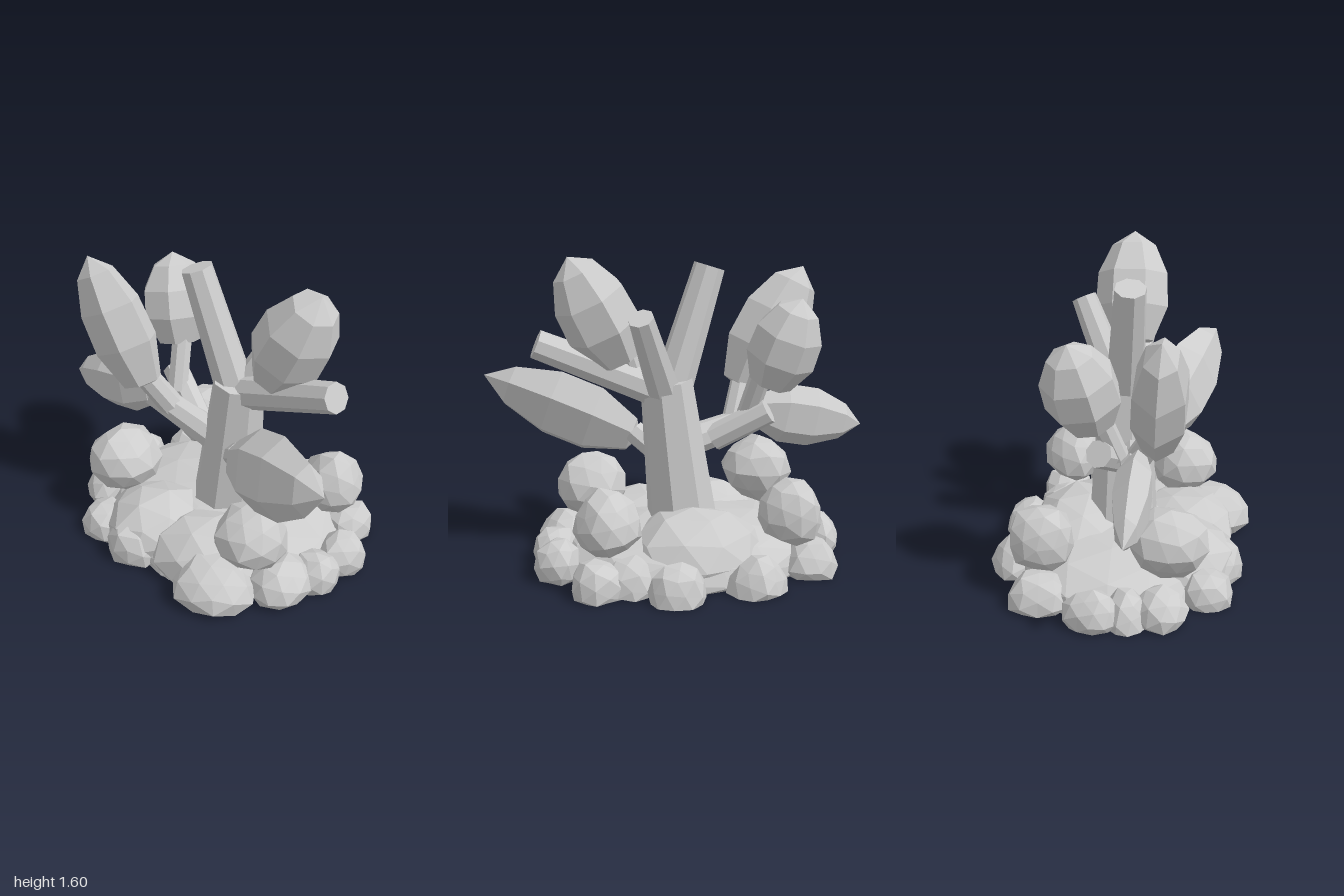
import * as THREE from 'three';

const V = (a) => new THREE.Vector3(...a);

export function createModel() {
  const root = new THREE.Group();
  const grey = new THREE.MeshStandardMaterial({ color: 0xcccccc });
  grey.name = 'light grey';

  // adds a faceted mesh (split vertices give flat normals)
  function add(name, geo) {
    const g = geo.index ? geo.toNonIndexed() : geo;
    g.computeVertexNormals();
    const mesh = new THREE.Mesh(g, grey);
    mesh.name = name;
    root.add(mesh);
    return mesh;
  }

  // irregular boulder, cut flat at the ground
  function blob(name, [x, y, z], [rx, ry, rz], seed, detail, rough) {
    const geo = new THREE.IcosahedronGeometry(1, detail);
    geo.rotateY(seed * 1.7).rotateX(seed * 0.6);
    const p = geo.attributes.position;
    const v = new THREE.Vector3();
    for (let i = 0; i < p.count; i++) {
      v.fromBufferAttribute(p, i);
      const n = Math.sin(v.x * 5.1 + seed * 2.3) + Math.sin(v.y * 4.3 + seed) + Math.sin(v.z * 4.7 - seed * 1.9);
      v.multiplyScalar(1 + rough * n / 2);
      p.setXYZ(i, x + v.x * rx, Math.max(0, y + v.y * ry), z + v.z * rz);
    }
    add(name, geo);
  }

  // tapered eight-sided limb between two points
  function limb(name, from, to, r0, r1) {
    const a = V(from), b = V(to), dir = b.clone().sub(a);
    const geo = new THREE.CylinderGeometry(r1, r0, dir.length(), 8);
    geo.rotateY(Math.PI / 8);
    const mesh = add(name, geo);
    mesh.position.copy(a).add(b).multiplyScalar(0.5);
    mesh.quaternion.setFromUnitVectors(new THREE.Vector3(0, 1, 0), dir.normalize());
  }

  // pointed faceted leaf from base to tip, w = half width, d = half thickness
  const slim = [[0, 0], [0.5, 0.05], [0.95, 0.3], [0.95, 0.56], [0.58, 0.83], [0, 1]];
  const plump = [[0, 0], [0.62, 0.04], [1, 0.33], [0.96, 0.62], [0.6, 0.87], [0, 1]];
  function leaf(name, base, tip, w, d, profile, sides, roll = 0) {
    const a = V(base), y = V(tip).sub(a), len = y.length();
    y.normalize();
    const x = new THREE.Vector3().crossVectors(y, new THREE.Vector3(0, 0, 1)).normalize();
    const z = new THREE.Vector3().crossVectors(x, y);
    const geo = new THREE.LatheGeometry(profile.map(([r, t]) => new THREE.Vector2(r, t)), sides, Math.PI / 2);
    geo.scale(w, len, d).rotateY(roll);
    geo.applyMatrix4(new THREE.Matrix4().makeBasis(x, y, z).setPosition(a));
    add(name, geo);
  }

  // trunk and main branches
  limb('trunk', [0.01, 0.1, 0.005], [0.105, 0.96, 0.0], 0.19, 0.135);
  limb('upperLeftBranch', [0.09, 0.86, 0.0], [-0.13, 1.52, 0.06], 0.105, 0.08);
  limb('upperRightBranch', [0.13, 0.9, 0.0], [0.75, 1.165, 0.04], 0.09, 0.075);
  limb('rearBranch', [0.11, 0.87, -0.02], [0.27, 1.33, -0.24], 0.09, 0.065);
  limb('lowerLeftBranch', [0.03, 0.59, 0.06], [-0.43, 0.705, 0.12], 0.085, 0.068);

  // twigs carrying the leaves
  limb('tallLeafTwig', [-0.27, 0.66, 0.1], [-0.35, 0.88, 0.22], 0.066, 0.062);
  limb('rearLeafTwig', [-0.15, 0.62, 0.04], [-0.42, 0.78, -0.05], 0.07, 0.07);
  limb('rearLeafStem', [-0.32, 0.72, 0.03], [-0.38, 1.0, -0.07], 0.055, 0.055);
  limb('longLeafTwig', [0.11, 0.53, 0.06], [0.25, 0.65, 0.15], 0.062, 0.062);
  limb('topLeafTwig', [0.25, 0.96, 0.02], [0.3, 1.12, 0.0], 0.045, 0.04);

  // leaves
  leaf('sideLeaf', [-0.37, 0.74, 0.14], [-1, 0.61, 0.155], 0.17, 0.1, slim, 6);
  leaf('longLeaf', [0.22, 0.61, 0.16], [1, 0.93, 0.4], 0.215, 0.14, slim, 6, -0.4);
  leaf('tallLeaf', [-0.35, 0.82, 0.23], [-0.69, 1.465, 0.28], 0.205, 0.145, plump, 6);
  leaf('topLeaf', [0.32, 1.06, 0], [0.59, 1.6, -0.02], 0.195, 0.195, plump, 7);
  leaf('rearLeaf', [-0.41, 0.92, -0.08], [-0.55, 1.38, -0.17], 0.18, 0.19, plump, 7);

  // angular bushes at the four corners of the mound
  for (const [x, y, z, r, seed] of [
    [-0.46, 0.35, 0.3, 0.19, 1], [0.46, 0.33, 0.28, 0.182, 2],
    [0.465, 0.335, -0.34, 0.168, 3], [-0.47, 0.325, -0.33, 0.165, 4],
  ]) blob('bush', [x, y, z], [r, r, r], seed, 1, 0.09);

  // mound
  blob('mound', [0, 0.01, 0], [0.7, 0.24, 0.56], 5, 2, 0.05);
  blob('mound', [-0.17, 0.06, 0.33], [0.29, 0.23, 0.3], 6, 1, 0.08);
  blob('mound', [0.2, 0.06, 0.3], [0.32, 0.22, 0.29], 7, 1, 0.08);
  blob('mound', [0, 0.08, -0.2], [0.37, 0.26, 0.31], 8, 1, 0.06);

  // ring of rocks: x, z, half width, half depth, top height
  const rocks = [
    [-0.25, -0.52, 0.15, 0.13, 0.18], [0.15, -0.54, 0.15, 0.12, 0.18], [0.53, -0.4, 0.14, 0.14, 0.18],
    [0.69, -0.16, 0.12, 0.14, 0.21], [0.68, 0.03, 0.12, 0.13, 0.2], [0.6, 0.21, 0.16, 0.17, 0.22],
    [0.37, 0.46, 0.22, 0.19, 0.23], [0.07, 0.42, 0.18, 0.14, 0.16], [-0.16, 0.5, 0.17, 0.16, 0.2],
    [-0.4, 0.49, 0.15, 0.13, 0.17], [-0.62, 0.28, 0.13, 0.14, 0.18], [-0.71, -0.04, 0.11, 0.14, 0.2],
    [-0.57, -0.33, 0.14, 0.16, 0.19], [-0.66, 0.12, 0.12, 0.12, 0.17], [0.36, -0.4, 0.15, 0.12, 0.17],
  ];
  rocks.forEach(([x, z, rx, rz, h], i) =>
    blob('rock', [x, h - 0.15, z], [rx, 0.15, rz], i + 9, 1, 0.09));

  return root;
}
